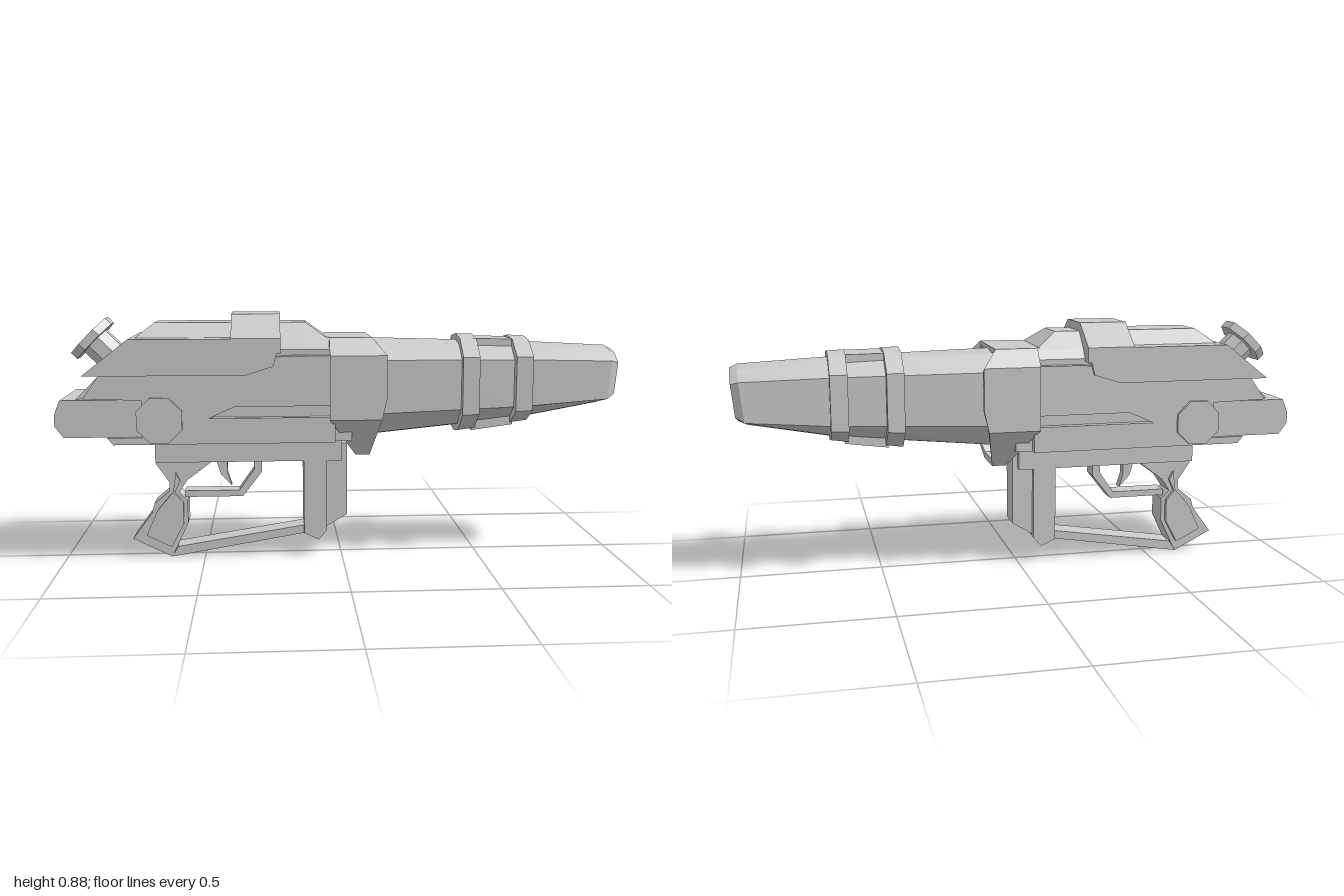
import * as THREE from 'three';
import { toCreasedNormals } from 'three/addons/utils/BufferGeometryUtils.js';

const material = new THREE.MeshStandardMaterial({ color: 0xcccccc, side: THREE.DoubleSide });

function add(group, name, geometry) {
  const mesh = new THREE.Mesh(geometry, material);
  mesh.name = name;
  group.add(mesh);
  return mesh;
}

// Side outline [x, y] extruded between two z values
function slab(points, z0, z1) {
  const shape = new THREE.Shape(points.map(p => new THREE.Vector2(p[0], p[1])));
  return new THREE.ExtrudeGeometry(shape, { depth: z1 - z0, bevelEnabled: false }).translate(0, 0, z0);
}

// Half section [z, y, x], from the top centre round to the bottom centre, mirrored to a full ring
function ring(half) {
  const back = half.slice(1, -1).reverse().map(([z, y, x]) => [-z, y, x]);
  return [...half, ...back].map(([z, y, x]) => [x, y, z]);
}

// Skin over rings, either capped at both ends or closed on itself
function loft(rings, closed = false) {
  const pos = [], n = rings[0].length;
  const tri = (...p) => p.forEach(q => pos.push(...q));
  const steps = closed ? rings.length : rings.length - 1;
  for (let i = 0; i < steps; i++) {
    const r = rings[i], s = rings[(i + 1) % rings.length];
    for (let j = 0; j < n; j++) {
      const k = (j + 1) % n;
      tri(r[j], r[k], s[k]);
      tri(r[j], s[k], s[j]);
    }
  }
  if (!closed) {
    const a = rings[0], b = rings[rings.length - 1];
    const mid = r => [0, 1, 2].map(c => r.reduce((t, p) => t + p[c], 0) / n);
    for (let j = 0; j < n; j++) {
      const k = (j + 1) % n;
      tri(mid(a), a[k], a[j]);
      tri(mid(b), b[j], b[k]);
    }
  }
  const g = new THREE.BufferGeometry();
  g.setAttribute('position', new THREE.Float32BufferAttribute(pos, 3));
  g.computeVertexNormals();
  return toCreasedNormals(g, 0.5);
}

// Barrel section: half width, top, side top, side bottom, bottom; tilt leans the section
function barrelRing([x, w, top, sTop, sBottom, bottom], tilt = 0) {
  const half = [[0, top], [w * 0.52, top - 0.012], [w, sTop], [w, sBottom], [w * 0.52, bottom + 0.015], [0, bottom]];
  return ring(half.map(([z, y]) => [z, y, x + tilt * (y - 0.66)]));
}

export function createModel() {
  const model = new THREE.Group();
  model.name = 'blaster';

  // Body core with chamfered top, and a narrower tail
  const bodyHalf = [[0, 0.81], [0.12, 0.81], [0.15, 0.77], [0.15, 0.445], [0, 0.445]];
  add(model, 'bodyCore', loft([-0.74, 0.03].map(x => ring(bodyHalf.map(p => [...p, x])))));
  add(model, 'bodyTail', slab([[-0.93, 0.6], [-0.84, 0.69], [-0.7, 0.69], [-0.7, 0.445], [-0.8, 0.445], [-0.86, 0.5]], -0.13, 0.13));
  add(model, 'rearBlock', slab([[-1, 0.51], [-0.97, 0.47], [-0.65, 0.47], [-0.65, 0.6], [-0.98, 0.6], [-1, 0.55]], -0.165, 0.165));

  // Side plates, each with a pointed groove open to the collar
  const plate = [[-0.8, 0.445], [-0.03, 0.445], [-0.03, 0.535], [-0.47, 0.535], [-0.38, 0.575],
    [-0.03, 0.575], [-0.03, 0.75], [-0.2, 0.75], [-0.84, 0.69], [-0.9, 0.605], [-0.7, 0.6], [-0.7, 0.47], [-0.82, 0.47]];
  add(model, 'sidePlateLeft', slab(plate, 0.14, 0.178));
  add(model, 'sidePlateRight', slab(plate, -0.178, -0.14));

  // Upper cover, hump and strap
  add(model, 'upperCover', slab([[-0.9, 0.685], [-0.34, 0.685], [-0.245, 0.715], [-0.22, 0.81], [-0.74, 0.81]], -0.19, 0.19));
  const hump = (x, y, z) => ring([[0, y, x], [z, y, x], [0.13, 0.8, x], [0, 0.8, x]]);
  add(model, 'topHump', loft([hump(-0.73, 0.805, 0.128), hump(-0.66, 0.86, 0.07), hump(-0.13, 0.86, 0.07), hump(-0.06, 0.81, 0.12)]));
  add(model, 'topStrap', loft([-0.39, -0.22].map(x =>
    ring([[0, 0.89, x], [0.08, 0.89, x], [0.19, 0.812, x], [0.19, 0.76, x], [0, 0.76, x]]))));

  // Octagonal side discs
  add(model, 'sideDiscs', new THREE.CylinderGeometry(0.085, 0.085, 0.376, 8).toNonIndexed()
    .rotateY(Math.PI / 8).rotateX(Math.PI / 2).translate(-0.64, 0.53, 0));

  // Rear knob on a slanted stem
  const knob = new THREE.Group();
  knob.name = 'rearKnob';
  add(knob, 'knobCap', new THREE.CylinderGeometry(0.094, 0.094, 0.03, 8).rotateY(Math.PI / 8));
  add(knob, 'knobStem', new THREE.CylinderGeometry(0.058, 0.058, 0.14, 8).rotateY(Math.PI / 8).translate(0, -0.08, 0));
  knob.children.forEach(m => { m.geometry = toCreasedNormals(m.geometry, 0.5); });
  knob.position.set(-0.885, 0.803, 0);
  knob.rotation.z = Math.PI / 4;
  model.add(knob);

  // Hollow collar: [z, y, rear x, front x]
  const collar = [[0, 0.81, -0.05, 0.1], [0.14, 0.81, -0.05, 0.1], [0.19, 0.75, -0.05, 0.15], [0.19, 0.6, -0.05, 0.15],
    [0.19, 0.525, -0.05, 0.133], [0.07, 0.38, 0.05, 0.1], [0, 0.38, 0.05, 0.1]];
  const collarRing = (front, s) => ring(collar.map(p => [p[0] * s, 0.62 + (p[1] - 0.62) * s, p[2 + front]]));
  add(model, 'collar', loft([collarRing(0, 1), collarRing(1, 1), collarRing(1, 0.9), collarRing(0, 0.9)], true));

  // Tapered barrel with an open muzzle
  add(model, 'barrel', loft([
    barrelRing([0, 0.146, 0.803, 0.73, 0.535, 0.435]),
    barrelRing([0.65, 0.134, 0.785, 0.727, 0.56, 0.5]),
    barrelRing([0.96, 0.127, 0.768, 0.72, 0.583, 0.555], 0.1),
    barrelRing([0.988, 0.11, 0.755, 0.712, 0.6, 0.57], 0.1),
    barrelRing([0.985, 0.094, 0.745, 0.705, 0.615, 0.592], 0.1),
    barrelRing([0.72, 0.08, 0.735, 0.7, 0.62, 0.6]),
  ]));

  // Two barrel bands joined along the top and bottom
  const band = x => {
    const t = (x - 0.42) / 0.25;
    return barrelRing([x, 0.168, 0.813 - 0.008 * t, 0.74, 0.535 + 0.015 * t, 0.455 + 0.035 * t]);
  };
  add(model, 'rearBand', loft([band(0.42), band(0.48)]));
  add(model, 'frontBand', loft([band(0.61), band(0.67)]));
  add(model, 'bandBridgeTop', slab([[0.47, 0.74], [0.62, 0.74], [0.62, 0.797], [0.47, 0.799]], -0.075, 0.075));
  add(model, 'bandBridgeBottom', slab([[0.47, 0.467], [0.62, 0.487], [0.62, 0.56], [0.47, 0.56]], -0.075, 0.075));

  // Lower receiver and rear grip
  add(model, 'lowerReceiver', slab([[-0.67, 0.36], [0, 0.36], [0, 0.46], [-0.67, 0.46]], -0.07, 0.07));
  add(model, 'rearGrip', slab([[-0.67, 0.4], [-0.67, 0.35], [-0.625, 0.285], [-0.625, 0.25], [-0.68, 0.205], [-0.69, 0.17],
    [-0.76, 0.075], [-0.62, 0.005], [-0.56, 0.13], [-0.56, 0.215], [-0.59, 0.245], [-0.56, 0.29], [-0.44, 0.38], [-0.44, 0.4]], -0.047, 0.047));
  add(model, 'gripPanel', slab([[-0.67, 0.18], [-0.71, 0.09], [-0.62, 0.045], [-0.575, 0.13], [-0.575, 0.21],
    [-0.605, 0.245], [-0.585, 0.29], [-0.6, 0.32], [-0.61, 0.25]], -0.062, 0.062));

  // Trigger and its guard
  add(model, 'triggerGuard', slab([[-0.57, 0.225], [-0.36, 0.225], [-0.29, 0.315], [-0.29, 0.37], [-0.318, 0.37],
    [-0.318, 0.325], [-0.372, 0.248], [-0.57, 0.248]], -0.035, 0.035));
  add(model, 'trigger', slab([[-0.46, 0.37], [-0.44, 0.305], [-0.4, 0.262], [-0.415, 0.31], [-0.415, 0.37]], -0.018, 0.018));

  // Lower bar and front grip
  add(model, 'lowerBar', slab([[-0.62, 0.005], [-0.12, 0.088], [-0.12, 0.118], [-0.6, 0.042]], -0.045, 0.045));
  add(model, 'frontGrip', slab([[-0.138, 0.4], [-0.138, 0.09], [-0.085, 0.065], [-0.055, 0.1], [-0.055, 0.4]], -0.068, 0.068));
  add(model, 'frontGripInsert', slab([[-0.06, 0.42], [-0.06, 0.105], [0.02, 0.155], [0.02, 0.42]], -0.048, 0.048));

  return model;
}
